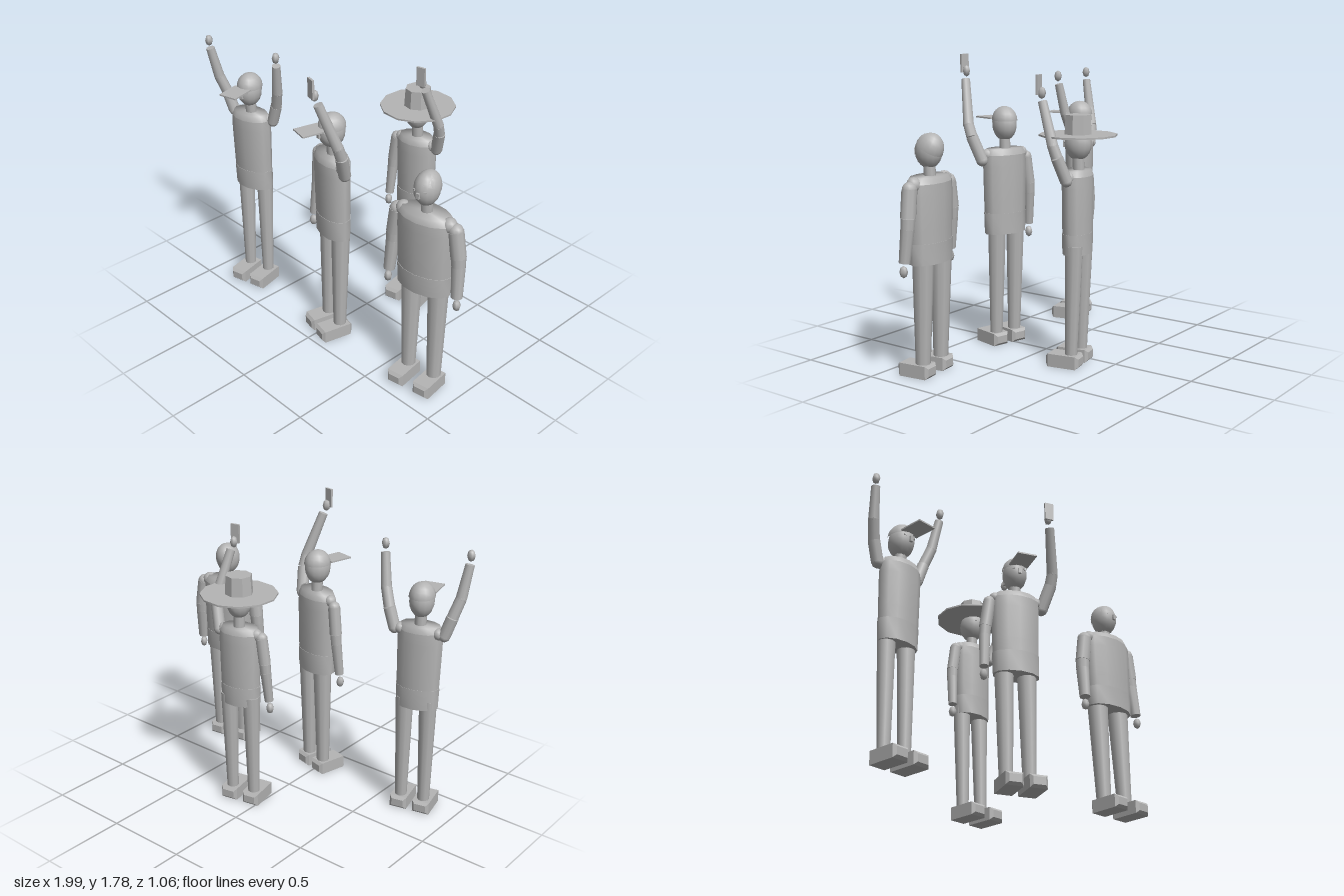
import * as THREE from 'three';
import { toCreasedNormals } from 'three/addons/utils/BufferGeometryUtils.js';

const grey = new THREE.MeshStandardMaterial({ color: 0xb4b4b4 });
grey.name = 'plain grey';

const V = (x, y, z) => new THREE.Vector3(x, y, z);

function add(parent, name, geometry, pos, scale = V(1, 1, 1)) {
  const m = new THREE.Mesh(geometry, grey);
  m.name = name;
  m.position.copy(pos);
  m.scale.copy(scale);
  parent.add(m);
  return m;
}

// Tapered limb between two points
function limb(parent, name, a, b, ra, rb) {
  const d = b.clone().sub(a);
  const m = add(parent, name, new THREE.CylinderGeometry(rb, ra, d.length(), 10), a.clone().addScaledVector(d, 0.5));
  m.quaternion.setFromUnitVectors(V(0, 1, 0), d.normalize());
}

const ball = (parent, name, pos, r) => add(parent, name, new THREE.SphereGeometry(r, 10, 7), pos);

// Upper part of a unit sphere
const dome = (part) => new THREE.SphereGeometry(1, 14, 6, 0, Math.PI * 2, 0, Math.PI * part);

function turned(points, sides) {
  const g = new THREE.LatheGeometry(points.map((p) => new THREE.Vector2(...p)), sides);
  return toCreasedNormals(g, 0.75);
}

// Shoe with chamfered edges, toe towards +z
function shoeGeometry(w, h, len) {
  const c = 0.016, x = w / 2 - c, s = new THREE.Shape();
  s.moveTo(-x, c);
  s.lineTo(x, c);
  s.lineTo(x, h - c);
  s.lineTo(-x, h - c);
  s.closePath();
  const g = new THREE.ExtrudeGeometry(s, {
    depth: len - 2 * c, bevelEnabled: true, bevelSize: c, bevelThickness: c, bevelSegments: 1,
  });
  return g.translate(0, 0, c);
}

// Arm poses as outward, up and forward offsets from the top of the sleeve
const poses = {
  down: { start: 0, end: V(0.022, -0.155, -0.002), elbow: V(0.026, -0.21, 0), wrist: V(0.036, -0.4, 0.018), hand: V(0.04, -0.45, 0.022) },
  cheer: { start: -0.023, end: V(0.038, 0.115, 0.008), elbow: V(0.072, 0.225, 0.036), wrist: V(0.098, 0.415, 0.07), hand: V(0.1, 0.465, 0.074) },
  phone: { start: 0.01, end: V(0.04, 0.135, 0.04), elbow: V(0.045, 0.2, 0.063), wrist: V(0, 0.445, 0.147), hand: V(-0.014, 0.492, 0.158) },
};

function buildArm(body, f, side, poseName) {
  const arm = new THREE.Group();
  arm.name = side > 0 ? 'leftArm' : 'rightArm';
  body.add(arm);
  const pose = poses[poseName], r = f.armR;
  const root = V(side * (f.w + 0.013), f.top - f.drop, pose.start);
  const at = (o) => V(side * o.x, o.y, o.z).multiplyScalar(f.reach).add(root);
  const end = at(pose.end), elbow = at(pose.elbow), hand = at(pose.hand);

  ball(arm, 'shoulder', V(side * f.w * 0.84, f.top - 0.035, pose.start), r);
  ball(arm, 'sleeveTop', root, r * 0.98);
  limb(arm, 'sleeve', root, end, r, r);
  limb(arm, 'upperArm', end, elbow, r * 0.95, r * 0.9);
  ball(arm, 'elbow', elbow, r * 0.9);
  limb(arm, 'forearm', elbow, at(pose.wrist), r * 0.9, r * 0.74);
  add(arm, 'hand', new THREE.SphereGeometry(0.024, 6, 4), hand, V(1, 1.45, 1));
  if (poseName === 'phone') {
    add(arm, 'phone', new THREE.BoxGeometry(0.054, 0.112, 0.013), hand.clone().add(V(0, 0.045, 0.019)));
  }
}

function buildFigure(f) {
  const body = new THREE.Group();
  body.name = f.name;
  body.position.set(f.x, 0, f.z);
  body.rotation.y = f.yaw;

  // Legs and shoes
  for (const s of [-1, 1]) {
    limb(body, 'leg', V(s * f.legGap, 0.06, 0.005), V(s * f.legGap, f.hip + 0.05, -0.01), f.legR * 0.68, f.legR);
    add(body, 'shoe', shoeGeometry(0.105, 0.077, 0.205), V(s * f.legGap, 0, -0.056));
  }

  // Shirt, with its hem wrapped around the hips
  const h = f.top - f.hip, girth = V(f.w, 1, f.d);
  add(body, 'shirt', turned([[0, 0], [0.93, 0], [0.97, h * 0.4], [1, h * 0.8], [0.98, h * 0.93], [0.85, h], [0, h]], 12),
    V(0, f.hip, 0), girth);
  add(body, 'hips', turned([[0, 0], [0.95, 0], [0.975, h * 0.25], [0, h * 0.25]], 12), V(0, f.hip - 0.003, 0), girth);

  // Neck, head and face
  const y = f.headY;
  limb(body, 'neck', V(0, f.top - 0.01, -0.005), V(0, y - 0.05, 0), 0.034, 0.034);
  add(body, 'head', new THREE.SphereGeometry(1, 14, 10), V(0, y, 0), V(0.071, 0.098, 0.081));
  add(body, 'nose', new THREE.BoxGeometry(0.02, 0.032, 0.02), V(0, y - 0.01, 0.08));
  for (const s of [-1, 1]) {
    add(body, 'eye', new THREE.BoxGeometry(0.014, 0.009, 0.006), V(s * 0.034, y + 0.012, 0.07)).rotation.y = s * 0.5;
  }

  // Headwear or hair
  if (f.wear === 'cap') {
    add(body, 'capDome', dome(0.5), V(0, y + 0.025, -0.002), V(0.075, 0.086, 0.084));
    add(body, 'capBrim', new THREE.BoxGeometry(0.118, 0.009, 0.15), V(0, y + 0.035, 0.135));
  } else if (f.wear === 'hat') {
    add(body, 'hatBrim', new THREE.CylinderGeometry(0.224, 0.224, 0.01, 12), V(0, y + 0.047, 0));
    add(body, 'hatCrown', turned([[0.083, 0], [0.076, 0.115], [0, 0.115]], 8), V(0, y + 0.047, 0));
  } else {
    add(body, 'hair', dome(0.48), V(0, y + 0.004, -0.002), V(0.073, 0.1, 0.084)).rotation.x = -0.5;
  }

  buildArm(body, f, -1, f.right);
  buildArm(body, f, 1, f.left);
  return body;
}

const figures = [
  {
    name: 'cheeringPerson', x: -0.74, z: 0.272, yaw: 0.23, hip: 0.7, top: 1.205, w: 0.136, d: 0.083,
    legGap: 0.072, legR: 0.052, headY: 1.345, wear: 'cap',
    armR: 0.035, drop: 0.04, reach: 1, right: 'cheer', left: 'cheer',
  },
  {
    name: 'cappedPersonWithPhone', x: 0.024, z: 0.298, yaw: -0.24, hip: 0.705, top: 1.22, w: 0.15, d: 0.09,
    legGap: 0.07, legR: 0.057, headY: 1.362, wear: 'cap',
    armR: 0.037, drop: 0.065, reach: 1.07, right: 'down', left: 'phone',
  },
  {
    name: 'hattedPersonWithPhone', x: 0.115, z: -0.305, yaw: 0.2, hip: 0.67, top: 1.15, w: 0.13, d: 0.083,
    legGap: 0.074, legR: 0.052, headY: 1.3, wear: 'hat',
    armR: 0.035, drop: 0.05, reach: 0.99, right: 'down', left: 'phone',
  },
  {
    name: 'bareheadedPerson', x: 0.732, z: 0.27, yaw: 0.14, hip: 0.66, top: 1.14, w: 0.178, d: 0.1,
    legGap: 0.089, legR: 0.062, headY: 1.277, wear: 'hair',
    armR: 0.044, drop: 0.055, reach: 1, right: 'down', left: 'down',
  },
];

export function createModel() {
  const model = new THREE.Group();
  model.name = 'crowd';
  figures.forEach((f) => model.add(buildFigure(f)));
  return model;
}
